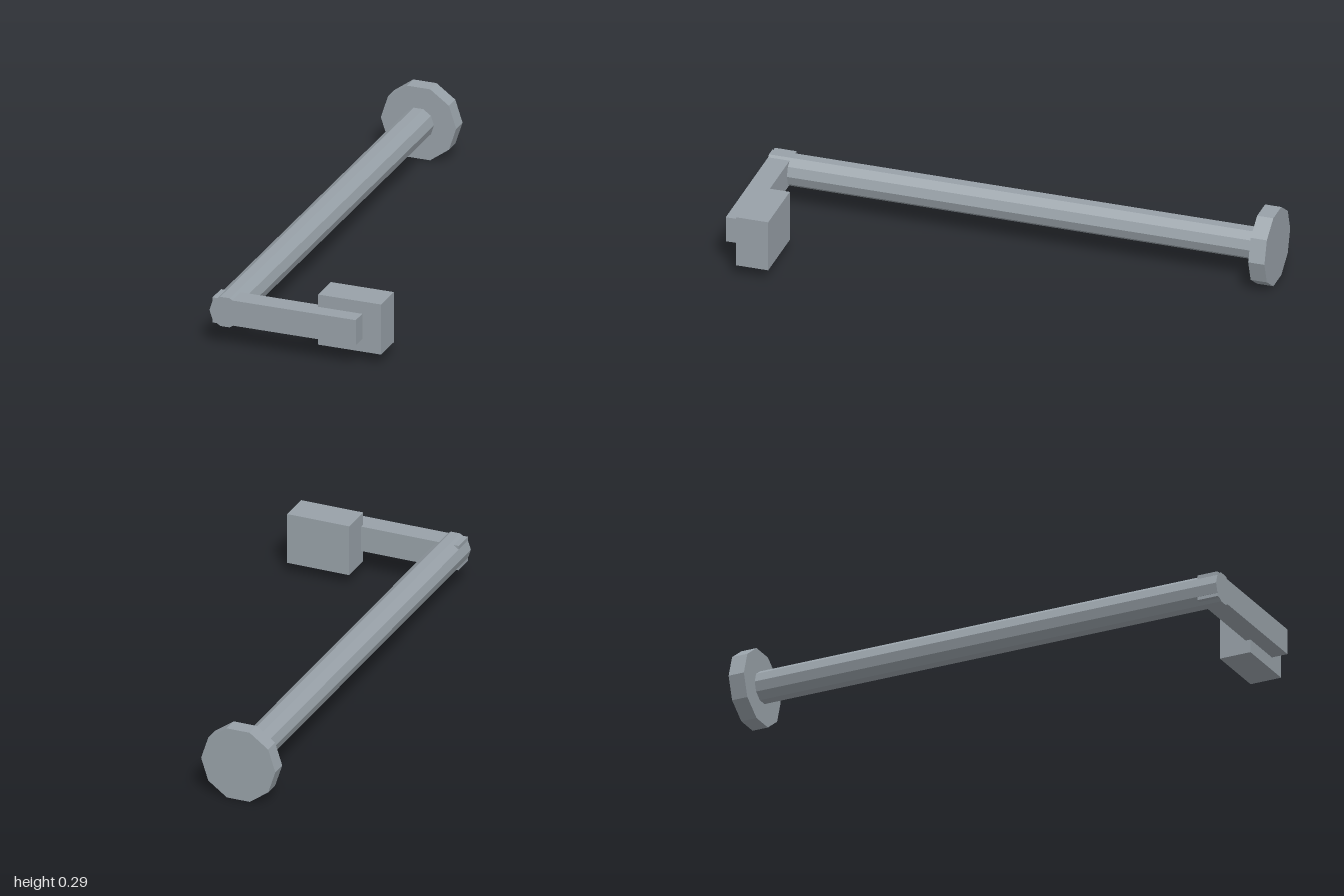
import * as THREE from 'three';

export function createModel() {
  const model = new THREE.Group();
  const metal = new THREE.MeshStandardMaterial({ color: 0x98a1a8 });
  metal.name = 'greyMetal';
  metal.flatShading = true;

  const add = (name, geometry, x, y, z) => {
    const mesh = new THREE.Mesh(geometry, metal);
    mesh.name = name;
    mesh.position.set(x, y, z);
    model.add(mesh);
  };

  // Ten-sided bar along z, with a corner pointing sideways
  const axisX = -0.227, axisY = 0.146;
  const bar = (name, radius, z0, z1) => {
    const geometry = new THREE.CylinderGeometry(radius, radius, z1 - z0, 10, 1, false, Math.PI / 2);
    geometry.rotateX(Math.PI / 2);
    add(name, geometry, axisX, axisY, (z0 + z1) / 2);
  };

  // Box given by its limits on each axis
  const box = (name, [x0, x1], [y0, y1], [z0, z1]) =>
    add(name, new THREE.BoxGeometry(x1 - x0, y1 - y0, z1 - z0),
      (x0 + x1) / 2, (y0 + y1) / 2, (z0 + z1) / 2);

  bar('endDisc', 0.152, -1, -0.936);
  bar('shaft', 0.0625, -0.94, 1);
  box('crossArm', [-0.277, 0.301], [0.096, 0.198], [0.915, 1]);
  box('endBlock', [0.123, 0.377], [0.044, 0.248], [0.807, 0.935]);

  return model;
}
